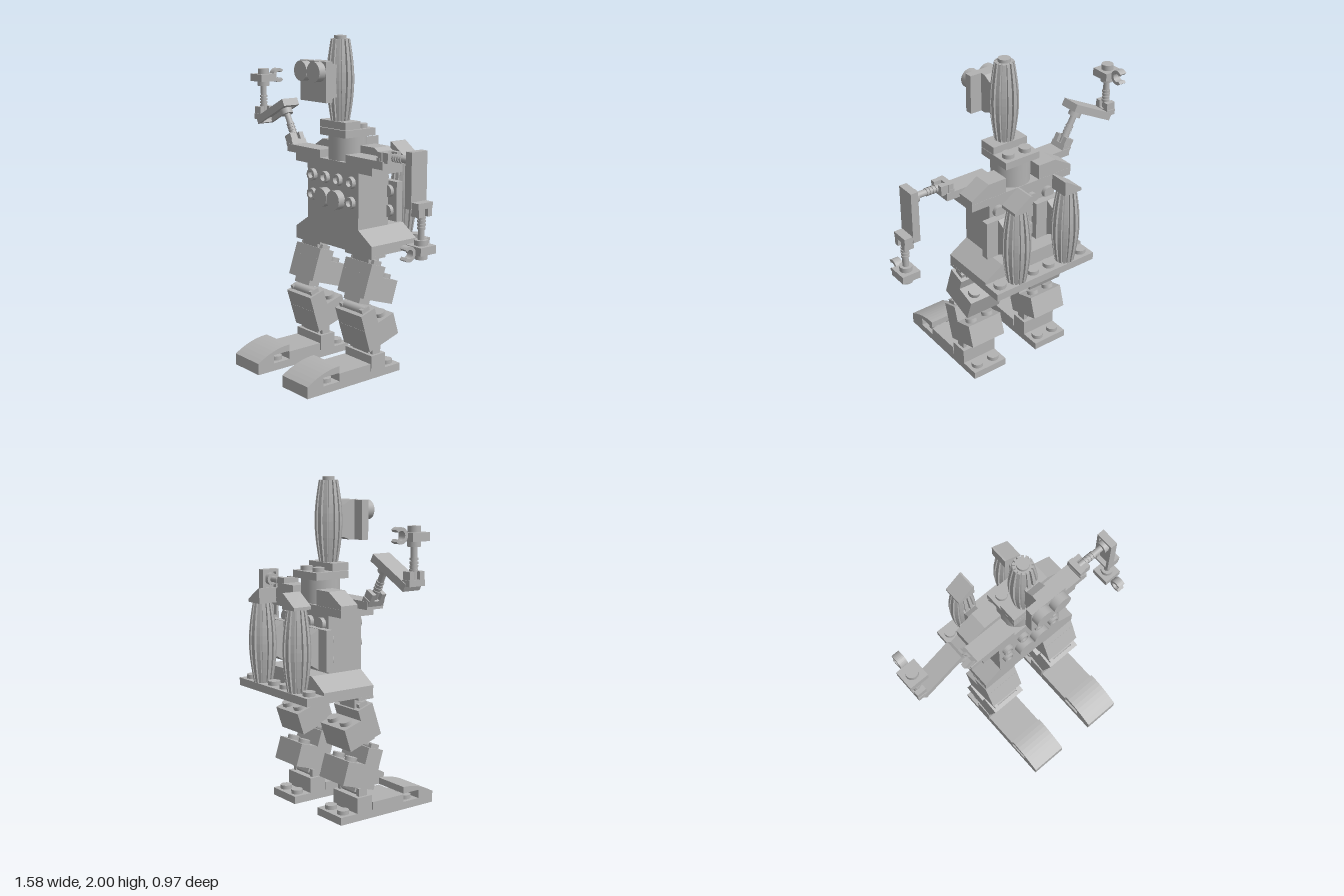
import * as THREE from 'three';

const grey = new THREE.MeshStandardMaterial({ color: 0xb3b3b3 });
grey.name = 'grey plastic';
const P = 0.118, PL = 0.047, CX = 0.03, Z1 = 0.01, ROW = -0.05; // grid pitch, plate height, body axis, front face, first row

function add(parent, geo, name, x = 0, y = 0, z = 0) {
  const m = new THREE.Mesh(geo, grey);
  m.name = name;
  m.position.set(x, y, z);
  parent.add(m);
  return m;
}
function group(parent, name, x = 0, y = 0, z = 0) {
  const g = new THREE.Group();
  g.name = name;
  g.position.set(x, y, z);
  parent.add(g);
  return g;
}
// box given by its limits
const box = (p, name, x0, x1, y0, y1, z0, z1) =>
  add(p, new THREE.BoxGeometry(x1 - x0, y1 - y0, z1 - z0), name, (x0 + x1) / 2, (y0 + y1) / 2, (z0 + z1) / 2);
// upright cylinder standing on y
const rod = (p, name, r, h, x, y, z) => add(p, new THREE.CylinderGeometry(r, r, h, 24), name, x, y + h / 2, z);
const stud = (p, x, y, z) => rod(p, 'stud', 0.036, 0.025, x, y, z);
// cylinder facing along z, from z to z + h
function disc(p, name, r, h, x, y, z) {
  add(p, new THREE.CylinderGeometry(r, r, h, 28), name, x, y, z + h / 2).rotation.x = Math.PI / 2;
}
function ringGeometry(ro, ri, h) {
  const s = new THREE.Shape().absarc(0, 0, ro, 0, Math.PI * 2);
  s.holes.push(new THREE.Path().absarc(0, 0, ri, 0, Math.PI * 2, true));
  return new THREE.ExtrudeGeometry(s, { depth: h, bevelEnabled: false, curveSegments: 12 });
}
function prismZ(p, name, pts, z0, z1) {
  const s = new THREE.Shape(pts.map(q => new THREE.Vector2(q[0], q[1])));
  return add(p, new THREE.ExtrudeGeometry(s, { depth: z1 - z0, bevelEnabled: false }), name, 0, 0, z0);
}
// prism along x from [z, y] points
function prismX(p, name, pts, x0, x1) {
  const m = prismZ(p, name, pts.map(([z, y]) => [-z, y]), 0, x1 - x0);
  m.rotation.y = Math.PI / 2;
  m.position.x = x0;
  return m;
}
// brick of nx by nz cells, hollow below with tubes
function brick(p, name, nx, nz, h, x, y, z) {
  const g = group(p, name, x, y, z), w = nx * P / 2, d = nz * P / 2, t = 0.018;
  box(g, 'top', -w, w, h - t, h, -d, d);
  for (const s of [-1, 1]) {
    add(g, new THREE.BoxGeometry(t, h - t, 2 * d), 'wall', s * (w - t / 2), (h - t) / 2, 0);
    add(g, new THREE.BoxGeometry(2 * w - 2 * t, h - t, t), 'wall', 0, (h - t) / 2, s * (d - t / 2));
  }
  for (let i = 1; i < nx; i++) for (let j = 1; j < nz; j++)
    add(g, ringGeometry(0.046, 0.034, h - t), 'tube', i * P - w, 0, j * P - d).rotation.set(-Math.PI / 2, 0, 0);
  return g;
}
// ribbed barrel, swelling at the middle
function barrel(p, name, h, x, y, z) {
  const pts = [], n = 14;
  for (let i = 0; i < n; i++) for (const [f, r] of [[-0.32, 1], [0.32, 1], [0.36, 0.78], [0.64, 0.78]]) {
    const a = (i + f) / n * Math.PI * 2;
    pts.push(new THREE.Vector2(Math.cos(a) * r, Math.sin(a) * r));
  }
  const geo = new THREE.ExtrudeGeometry(new THREE.Shape(pts), { depth: 1, steps: 10, bevelEnabled: false });
  const pos = geo.attributes.position;
  for (let i = 0; i < pos.count; i++) {
    const t = pos.getZ(i), r = 0.057 + 0.026 * Math.sin(Math.PI * t);
    pos.setXYZ(i, pos.getX(i) * r, pos.getY(i) * r, t * h);
  }
  geo.rotateX(-Math.PI / 2);
  geo.computeVertexNormals();
  add(p, geo, name, x, y, z);
}
// ridged bar on a clip block, rising along local y
function jointBar(p, len) {
  box(p, 'clipBlock', -0.03, 0.03, 0, 0.035, -0.055, 0.055);
  for (const s of [-1, 1]) box(p, 'clipFinger', -0.03, 0.03, 0.03, 0.08, s * 0.035 - 0.015, s * 0.035 + 0.015);
  rod(p, 'bar', 0.019, len - 0.03, 0, 0.03, 0);
  for (let i = 0; i < 4; i++) rod(p, 'barRidge', 0.024, 0.012, 0, 0.08 + i * 0.02, 0);
}
// lower arm with a square hand and an open grip towards -z
function lowerArm(p, name, x, y, flip) {
  const g = group(p, name, x, y, ROW);
  if (flip) g.rotation.x = Math.PI;
  jointBar(g, 0.24);
  rod(g, 'wrist', 0.038, 0.03, 0, 0.212, 0);
  box(g, 'hand', -0.059, 0.059, 0.242, 0.289, -0.059, 0.059);
  rod(g, 'handStud', 0.036, 0.033, 0, 0.289, 0);
  const s = new THREE.Shape();
  s.absarc(0, 0, 0.045, 0.75, Math.PI * 2 - 0.75);
  s.absarc(0, 0, 0.026, Math.PI * 2 - 0.75, 0.75, true);
  const c = add(g, new THREE.ExtrudeGeometry(s, { depth: 0.047, bevelEnabled: false }), 'grip', 0.0235, 0.275, -0.108);
  c.rotation.y = Math.PI / 2;
  c.position.x = -0.0235;
}
// hinge strip: body, two side ears and a pin
function hinge(p, y0, y1, pinY, zc) {
  box(p, 'hingeBody', -P, P, y0, y1, zc - 0.055, zc + 0.055);
  for (const s of [-1, 1]) box(p, 'hingeEar', s * 0.09 - 0.012, s * 0.09 + 0.012, Math.min(y0, pinY - 0.025), Math.max(y1, pinY + 0.025), zc - 0.03, zc + 0.03);
  add(p, new THREE.CylinderGeometry(0.028, 0.028, 0.2, 16), 'hingePin', 0, pinY, zc).rotation.z = Math.PI / 2;
}
function leg(root, name, x) {
  const g = group(root, name, x);
  // foot
  brick(g, 'sole', 2, 6, PL, 0, 0, 0.13);
  box(g, 'instep', -P, P, PL, 0.095, 0.012, 0.25);
  const toe = [[0.37, PL], [0.37, 0.1], [0.25, 0.1], [0.25, 0.141]];
  for (let i = 1; i <= 8; i++) toe.push([0.25 + 0.235 * i / 8, 0.141 - 0.07 * (i / 8) ** 2]);
  toe.push([0.485, PL]);
  prismX(g, 'toe', toe, -P, P);
  for (const s of [-1, 1]) {
    stud(g, s * P / 2, PL, 0.31);
    stud(g, s * P / 2, PL, -0.167);
  }
  hinge(g, PL, 0.142, 0.165, ROW);
  // shin and thigh bricks tilt in opposite directions
  for (const [part, y, z, tilt, top] of [['shin', 0.17, 0.016, 0.3, 0.1], ['thigh', 0.507, 0.07, -0.32, 0.065]]) {
    const b = group(g, part, 0, y, z);
    b.rotation.x = tilt;
    brick(b, part + 'Brick', 2, 2, 0.142, 0, 0, -P);
    for (const s of [-1, 1]) stud(b, s * P / 2, 0.142, -0.178);
    hinge(b, 0.142, 0.142 + top, 0.142 + top, -0.056);
    box(b, 'lowerKnuckle', -0.07, 0.07, -0.035, 0.13, -0.1, -0.02);
  }
  // hip joint
  box(g, 'hipKnuckle', -0.07, 0.07, 0.66, 0.745, -0.09, -0.01);
  box(g, 'hipStrip', -P, P, 0.73, 0.745, -0.1, Z1);
}

export function createModel() {
  const root = new THREE.Group();
  root.name = 'brickRobot';
  leg(root, 'rightLeg', CX - 0.237);
  leg(root, 'leftLeg', CX + 0.237);

  // hips
  brick(root, 'hipPlate', 6, 4, PL, CX, 0.745, Z1 - 2 * P);
  for (const i of [-2.5, -0.5, 0.5, 2.5]) stud(root, CX + i * P, 0.792, -0.405);
  prismZ(root, 'hipSlopes', [[-0.325, 0.79], [-0.325, 0.808], [-0.205, 0.885], [0.265, 0.885], [0.385, 0.808], [0.385, 0.79]], -0.345, Z1);

  // torso with front and back studs
  box(root, 'torso', CX - 2 * P, CX + 2 * P, 0.88, 1.225, -0.225, Z1);
  for (const i of [-1.5, -0.5, 0.5, 1.5]) {
    const x = CX + i * P, big = Math.abs(i) < 1;
    add(root, ringGeometry(0.036, 0.022, 0.027), 'chestRing', x, 1.16, Z1);
    if (big) disc(root, 'chestDisc', 0.058, 0.048, x, 1.04, Z1);
    else add(root, ringGeometry(0.036, 0.022, 0.027), 'chestRing', x, 1.04, Z1);
    for (const y of [0.97, 1.09, 1.17]) disc(root, 'backStud', 0.036, 0.025, x, y, -0.25);
  }

  // shoulders
  brick(root, 'shoulderPlate', 6, 2, PL, CX, 1.222, Z1 - P);
  box(root, 'rightShoulder', -0.41, -0.088, 1.269, 1.316, -0.108, Z1);
  box(root, 'leftShoulder', 0.148, 0.47, 1.269, 1.316, -0.108, Z1);
  for (const s of [-1, 1]) {
    const X = d => CX + s * d;
    prismZ(root, 'shoulderSlope', [[X(0.118), 1.269], [X(0.355), 1.269], [X(0.355), 1.29], [X(0.237), 1.36], [X(0.118), 1.36]], -0.225, -0.108);
    // back barrels on plates
    const bx = X(0.177);
    box(root, 'backPlate', bx - P, bx + P, 0.91, 1.15, -0.283, -0.238);
    for (const i of [-1, 1]) for (const y of [0.97, 1.09]) disc(root, 'plateStud', 0.036, 0.026, bx + i * P / 2, y, -0.24);
    prismX(root, 'barrelMount', [[-0.28, 0.91], [-0.28, 1.15], [-0.33, 1.12], [-0.35, 1.12], [-0.35, 0.94], [-0.33, 0.94]], bx - 0.04, bx + 0.04);
    barrel(root, 'backBarrel', 0.478, bx, 0.792, -0.405);
    prismZ(root, 'barrelCap', [[X(0.118), 1.27], [X(0.236), 1.27], [X(0.236), 1.288], [X(0.128), 1.36], [X(0.118), 1.36]], -0.464, -0.346);
  }

  // neck
  rod(root, 'neck', 0.116, 0.142, CX, 1.269, -0.108);
  box(root, 'neckPlate', CX - P, CX + P, 1.411, 1.455, -0.225, Z1);
  for (const s of [-1, 1]) stud(root, CX + s * P / 2, 1.455, -0.167);
  box(root, 'collarPlate', CX - P, CX + P, 1.458, 1.503, -0.108, Z1);

  // head
  barrel(root, 'headBarrel', 0.477, CX, 1.503, ROW);
  rod(root, 'headStud', 0.036, 0.02, CX, 1.98, ROW);
  box(root, 'facePlate', CX - P, CX + P, 1.628, 1.862, 0.108, 0.155);
  prismX(root, 'faceMount', [[0.11, 1.628], [0.11, 1.862], [0.075, 1.862], [0.03, 1.835], [0.01, 1.835], [0.01, 1.645], [0.03, 1.645], [0.075, 1.628]], CX - 0.045, CX + 0.045);
  for (const s of [-1, 1]) disc(root, 'eye', 0.058, 0.047, CX + s * P / 2, 1.803, 0.155);

  // raised right arm
  const ru = group(root, 'rightUpperArm', -0.385, 1.3, ROW);
  ru.rotation.z = 0.5;
  jointBar(ru, 0.25);
  rod(ru, 'elbowCollar', 0.038, 0.035, 0, 0.212, 0);
  brick(root, 'rightForearm', 2.65, 1, PL, -0.58, 1.477, ROW).rotation.z = 0.47;
  lowerArm(root, 'rightLowerArm', -0.737, 1.435, false);

  // hanging left arm
  box(root, 'leftShoulderPost', 0.42, 0.445, 1.3, 1.335, -0.108, Z1);
  const lu = group(root, 'leftUpperArm', 0.422, 1.338, ROW);
  lu.rotation.z = -Math.PI / 2;
  jointBar(lu, 0.25);
  rod(lu, 'elbowCollar', 0.038, 0.035, 0, 0.212, 0);
  brick(root, 'leftForearm', 2.7, 1, PL, 0.657, 1.24, ROW).rotation.z = -Math.PI / 2;
  lowerArm(root, 'leftLowerArm', 0.727, 1.122, true);
  return root;
}
